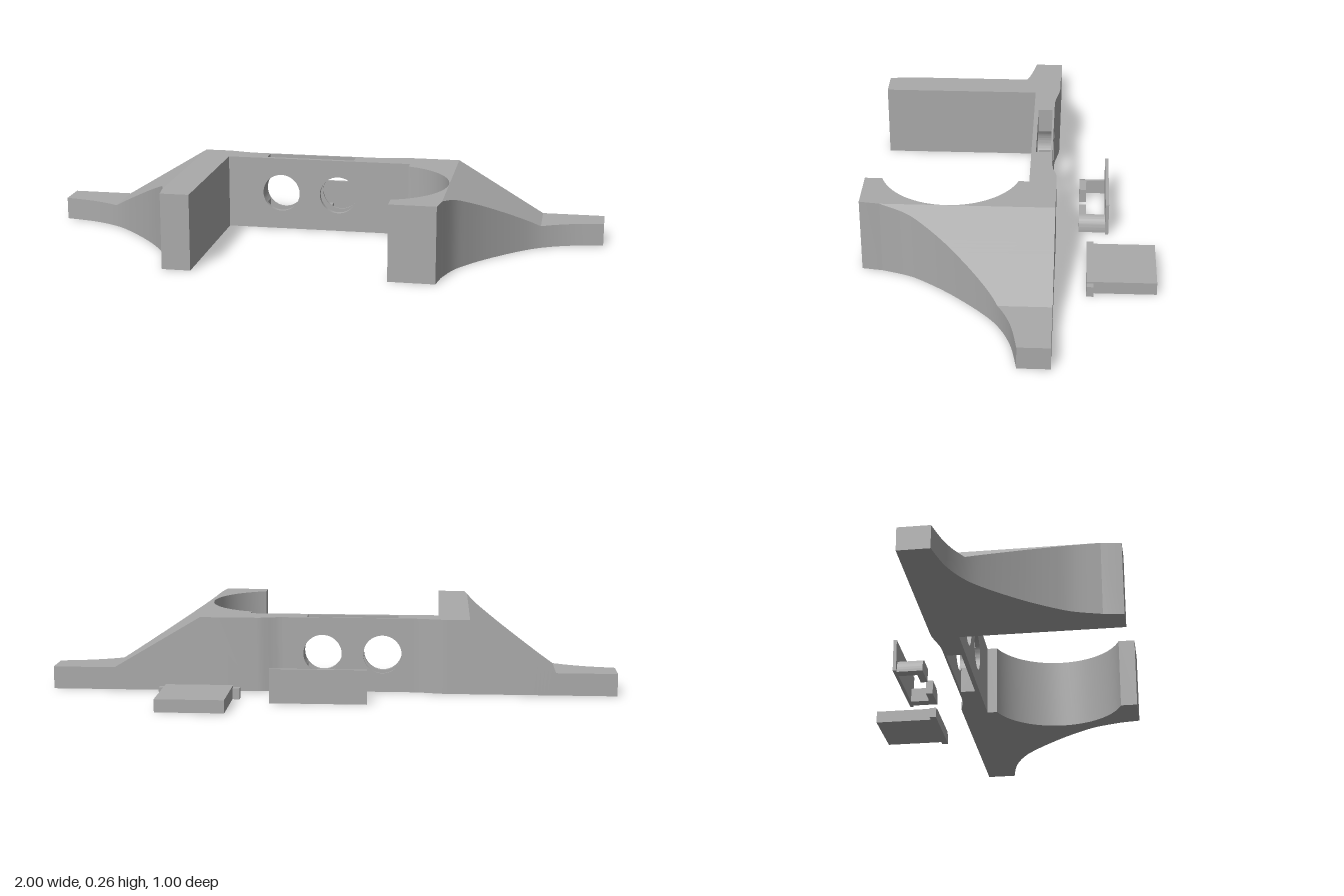
import * as THREE from 'three';
import { toCreasedNormals } from 'three/addons/utils/BufferGeometryUtils.js';

const H = 0.265;                       // full body height
const FRONT = -0.064, BACK = -0.139, EDGE = -0.157;
const HOLE_Y = 0.135, HOLE_R = 0.068, HOLES = [-0.175, 0.037];
const SLOT = [-0.23, 0.092], SLOT_Z = [-0.132, -0.08];
const BEAM = [-0.28, 0.18];            // straight part of the cross beam

export function createModel() {
  const group = new THREE.Group();
  const grey = new THREE.MeshStandardMaterial({ color: 0xaaaaaa });

  const add = (name, geo, parent = group) => {
    const m = new THREE.Mesh(toCreasedNormals(geo, 0.5), grey);
    m.name = name;
    parent.add(m);
    return m;
  };
  // box from its limits
  const box = (name, x0, x1, y0, y1, z0, z1, parent) => {
    const g = new THREE.BoxGeometry(x1 - x0, y1 - y0, z1 - z0);
    g.translate((x0 + x1) / 2, (y0 + y1) / 2, (z0 + z1) / 2);
    return add(name, g, parent);
  };
  // plan outline [x, z] raised to a height
  const plan = (name, pts, h) => {
    const s = new THREE.Shape(pts.map(([x, z]) => new THREE.Vector2(x, -z)));
    const g = new THREE.ExtrudeGeometry(s, { depth: h, bevelEnabled: false });
    return add(name, g.rotateX(-Math.PI / 2));
  };
  // front-facing shape run from z0 to z1
  const slab = (name, shape, z0, z1, parent) => {
    const g = new THREE.ExtrudeGeometry(shape, { depth: z1 - z0, bevelEnabled: false, curveSegments: 32 });
    return add(name, g.translate(0, 0, z0), parent);
  };

  // concave outer sweep of arm and wing, as [distance from centre, z]
  const armTip = [0.46, 0.5];
  const sweep = new THREE.SplineCurve([
    [0.47, 0.43], [0.5, 0.338], [0.54, 0.271], [0.605, 0.186], [0.7, 0.085],
    [0.78, 0.02], [0.88, -0.025], [1, -0.05],
  ].map(p => new THREE.Vector2(...p))).getPoints(42);
  const leftX = x => -(1 - (1 - x) * 0.978);
  const topAt = x => THREE.MathUtils.clamp(THREE.MathUtils.mapLinear(x, 0.47, 0.78, H, 0.08), 0.08, H);

  // wings: lofted from rectangular sections, sloping down then flat
  const wing = (name, side) => {
    const pos = [], idx = [];
    for (const p of sweep) {
      const x = side > 0 ? p.x : leftX(p.x), y = topAt(p.x);
      pos.push(x, 0, EDGE, x, y, EDGE, x, y, p.y, x, 0, p.y);
    }
    const quad = (a, b, c, d) => idx.push(...(side > 0 ? [a, b, c, a, c, d] : [a, c, b, a, d, c]));
    const n = sweep.length;
    for (let i = 0; i < n - 1; i++) {
      for (let k = 0; k < 4; k++) {
        const a = i * 4 + k, b = i * 4 + (k + 1) % 4;
        quad(a, b, b + 4, a + 4);
      }
    }
    const e = (n - 1) * 4;
    quad(e, e + 1, e + 2, e + 3);
    const g = new THREE.BufferGeometry();
    g.setAttribute('position', new THREE.Float32BufferAttribute(pos, 3));
    g.setIndex(idx);
    add(name, g);
  };
  wing('leftWing', 1);
  wing('rightWing', -1);

  // soft step of the back face between wing and beam
  const backStep = (x0, x1) => Array.from({ length: 13 }, (_, i) => {
    const t = i / 12;
    return [x0 + (x1 - x0) * t, EDGE + (BACK - EDGE) * t * t * (3 - 2 * t)];
  });

  // straight arm block on the right
  plan('rightArm', [
    [leftX(0.47), 0.43], [leftX(0.47), EDGE], ...backStep(-0.41, BEAM[0]),
    [BEAM[0], FRONT], [-0.372, FRONT], [-0.372, 0.5], [leftX(armTip[0]), armTip[1]],
  ], H);

  // arm block on the left with a round bite on its inner side
  const bite = [];
  const cx = 0.223, cz = 0.206, r = 0.246, a0 = Math.acos((0.3 - cx) / r);
  for (let i = 0; i <= 32; i++) {
    const a = -a0 + 2 * a0 * i / 32;
    bite.push([cx + r * Math.cos(a), cz + r * Math.sin(a)]);
  }
  plan('leftArm', [
    [0.47, 0.43], [0.47, EDGE], ...backStep(0.27, BEAM[1]),
    [BEAM[1], FRONT], [0.3, FRONT], ...bite, [0.3, 0.5], armTip,
  ], H);

  // cross beam: two drilled walls with a vertical slot between them
  const beam = new THREE.Group();
  beam.name = 'crossBeam';
  group.add(beam);
  const wall = new THREE.Shape([[BEAM[0], 0], [BEAM[1], 0], [BEAM[1], H], [BEAM[0], H]]
    .map(p => new THREE.Vector2(...p)));
  for (const x of HOLES) wall.holes.push(new THREE.Path().absarc(x, HOLE_Y, HOLE_R, 0, Math.PI * 2, true));
  slab('beamFrontWall', wall, SLOT_Z[1], FRONT, beam);
  slab('beamBackWall', wall, BACK, SLOT_Z[0], beam);
  // solid slot ends, notched where the holes pass
  [-1, 1].forEach((side, i) => {
    const s = new THREE.Shape();
    const a = Math.acos(Math.abs(SLOT[i] - HOLES[i]) / HOLE_R);
    const mid = side > 0 ? 0 : Math.PI;
    s.moveTo(BEAM[i], 0);
    s.lineTo(SLOT[i], 0);
    s.absarc(HOLES[i], HOLE_Y, HOLE_R, mid - side * a, mid + side * a, side < 0);
    s.lineTo(SLOT[i], H);
    s.lineTo(BEAM[i], H);
    slab('slotEnd', s, SLOT_Z[0], SLOT_Z[1], beam);
  });

  // loose clip: upright flange with two round-backed hooked legs
  const clip = new THREE.Group();
  clip.name = 'clip';
  clip.position.x = 0.038;
  group.add(clip);
  box('clipFlange', -0.168, 0.168, 0, 0.12, -0.342, -0.33, clip);
  for (const side of [-1, 1]) {
    const leg = new THREE.Shape();
    leg.moveTo(side * 0.118, 0);
    leg.lineTo(side * 0.156, 0);
    leg.quadraticCurveTo(side * 0.156, 0.045, side * 0.126, 0.052);
    leg.lineTo(side * 0.118, 0.052);
    slab('clipLeg', leg, -0.33, -0.237, clip);
    const x = [side * 0.052, side * 0.12].sort((a, b) => a - b);
    box('clipHook', ...x, 0, 0.052, -0.262, -0.237, clip);
  }

  // loose cover plate with side tabs
  const cover = new THREE.Group();
  cover.name = 'cover';
  group.add(cover);
  box('coverPlate', 0.34, 0.577, 0, 0.045, -0.5, -0.265, cover);
  box('coverTabRight', 0.315, 0.34, 0, 0.038, -0.289, -0.265, cover);
  box('coverTabLeft', 0.577, 0.598, 0, 0.038, -0.289, -0.265, cover);

  return group;
}
